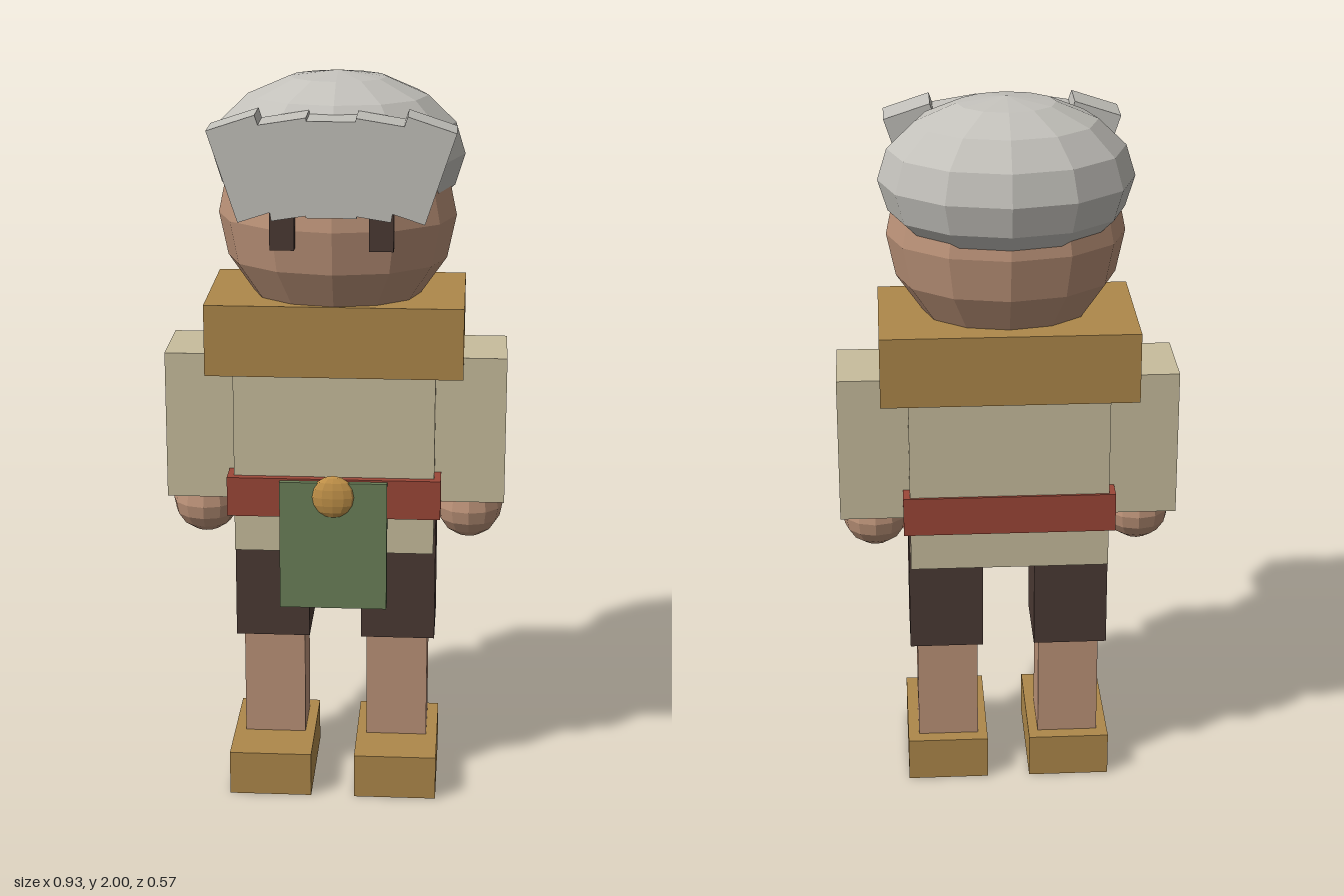
import * as THREE from 'three';

const mat = (name, color) => {
  const m = new THREE.MeshStandardMaterial({ color, flatShading: true });
  m.name = name;
  return m;
};

export function createModel() {
  const model = new THREE.Group();
  model.name = 'villager';

  const skin = mat('skin', 0xbb9278);
  const hair = mat('grey hair', 0xc3c1bb);
  const leather = mat('tan leather', 0xae884a);
  const cloth = mat('cream cloth', 0xc8bd9d);
  const red = mat('red belt', 0x9c4738);
  const green = mat('green apron', 0x6b8059);
  const brown = mat('dark brown', 0x4b3a34);
  const gold = mat('gold', 0xc4944a);

  const add = (name, geometry, material, x, y, z) => {
    const mesh = new THREE.Mesh(geometry, material);
    mesh.name = name;
    mesh.position.set(x, y, z);
    model.add(mesh);
    return mesh;
  };

  // Box given by its lower and upper limits along each axis
  const box = (name, material, [x0, x1], [y0, y1], [z0, z1]) =>
    add(name, new THREE.BoxGeometry(x1 - x0, y1 - y0, z1 - z0), material,
      (x0 + x1) / 2, (y0 + y1) / 2, (z0 + z1) / 2);

  // Faceted ellipsoid
  const ball = (name, material, [x, y, z], [rx, ry, rz]) =>
    add(name, new THREE.SphereGeometry(1, 12, 8).scale(rx, ry, rz), material, x, y, z);

  // Body and clothing
  box('torso', cloth, [-0.272, 0.272], [0.708, 1.25], [-0.17, 0.175]);
  box('collar', leather, [-0.346, 0.346], [1.21, 1.405], [-0.21, 0.192]);
  box('belt', red, [-0.29, 0.29], [0.815, 0.925], [-0.177, 0.196]);
  box('apron', green, [-0.146, 0.146], [0.557, 0.92], [0.17, 0.212]);
  ball('buckle', gold, [0, 0.88, 0.208], [0.06, 0.06, 0.02]);

  // Limbs and eyes, mirrored left and right
  for (const [side, s] of [['left', 1], ['right', -1]]) {
    const span = (a, b) => (s > 0 ? [a, b] : [-b, -a]);
    box(side + 'Arm', cloth, span(0.27, 0.463), [0.84, 1.25], [-0.115, 0.115]);
    ball(side + 'Hand', skin, [s * 0.367, 0.802, 0.012], [0.093, 0.093, 0.093]);
    box(side + 'ShortsLeg', brown, span(0.072, 0.277), [0.433, 0.8], [-0.112, 0.116]);
    box(side + 'Leg', skin, span(0.087, 0.257), [0.12, 0.45], [-0.08, 0.09]);
    box(side + 'Shoe', leather, span(0.06, 0.288), [0, 0.125], [-0.12, 0.242]);
    box(side + 'Eye', brown, span(0.097, 0.161), [1.575, 1.675], [0.225, 0.267]);
  }

  // Head and cap of hair
  ball('head', skin, [0, 1.62, 0.014], [0.32, 0.305, 0.244]);
  ball('hair', hair, [0, 1.78, -0.018], [0.34, 0.22, 0.266]);

  // Fringe of five fanned blocks
  for (let i = -2; i <= 2; i++) {
    const lock = add('fringeLock', new THREE.BoxGeometry(0.132, 0.25, 0.114), hair, i * 0.109, 1.79, 0.226);
    lock.rotation.z = -i * 0.16;
  }

  return model;
}
